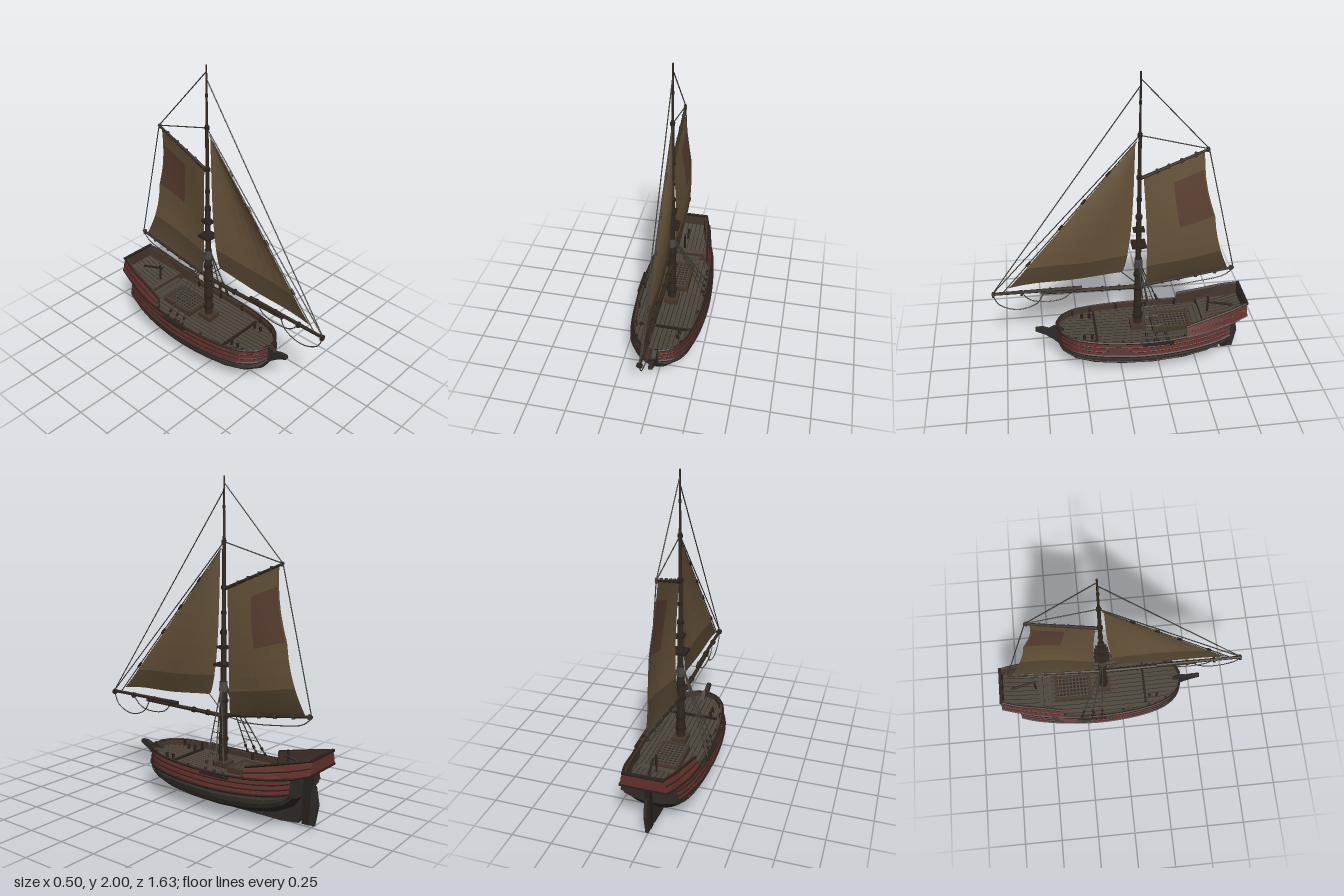
import * as THREE from 'three';

const mat = (color) => new THREE.MeshStandardMaterial({ color, flatShading: true, side: THREE.DoubleSide, roughness: 0.9 });
const RED = mat(0x66302b), DARK = mat(0x2f2b27), HULL = mat(0x48443c), WALE = mat(0x2b211d), DECK = mat(0x4c463b),
  WOOD = mat(0x46362a), SPAR = mat(0x32291f), ROPE = mat(0x3f3a33), SAIL = mat(0x665339), SAILDARK = mat(0x51432f),
  PATCH = mat(0x5c4032), IRON = mat(0x4a4846);
const lerp = THREE.MathUtils.lerp, clamp = THREE.MathUtils.clamp;
const V = (p) => new THREE.Vector3(...p);

// hull stations, bow to stern: z, half width, rail height, bottom height
const STATIONS = [
  [0.412, 0.02, 0.302, 0.18], [0.38, 0.1, 0.3, 0.12], [0.3, 0.168, 0.297, 0.075], [0.18, 0.208, 0.29, 0.048],
  [0, 0.234, 0.284, 0.034], [-0.2, 0.241, 0.282, 0.03], [-0.4, 0.228, 0.29, 0.04], [-0.55, 0.208, 0.305, 0.068],
  [-0.64, 0.19, 0.32, 0.115], [-0.7, 0.172, 0.335, 0.19]];
// stern bulwark sections: z, foot x, foot y, top x, top y
const POOP = [[-0.41, 0.215, 0.288, 0.185, 0.35], [-0.55, 0.198, 0.305, 0.165, 0.384],
  [-0.69, 0.168, 0.328, 0.148, 0.42], [-0.815, 0.14, 0.367, 0.118, 0.45]];

export function createModel() {
  const root = new THREE.Group();
  const add = (name, geo, m, parent = root) => {
    const mesh = new THREE.Mesh(geo, m);
    mesh.name = name;
    parent.add(mesh);
    return mesh;
  };
  const group = (name) => {
    const g = new THREE.Group();
    g.name = name;
    root.add(g);
    return g;
  };
  // surface through rows of points
  const loft = (name, rows, m, parent) => {
    const n = rows[0].length, idx = [];
    for (let i = 0; i < rows.length - 1; i++) for (let j = 0; j < n - 1; j++) {
      const a = i * n + j, b = a + n;
      idx.push(a, b, a + 1, b, b + 1, a + 1);
    }
    const g = new THREE.BufferGeometry();
    g.setAttribute('position', new THREE.Float32BufferAttribute(rows.flat(2), 3));
    g.setIndex(idx);
    g.computeVertexNormals();
    return add(name, g, m, parent);
  };
  const spar = (name, a, b, r0, r1, m, parent, sides = 8) => {
    const A = V(a), B = V(b), d = B.clone().sub(A);
    const mesh = add(name, new THREE.CylinderGeometry(r1, r0, d.length(), sides), m, parent);
    mesh.position.copy(A).add(B).multiplyScalar(0.5);
    mesh.quaternion.setFromUnitVectors(new THREE.Vector3(0, 1, 0), d.normalize());
    return mesh;
  };
  const tube = (name, pts, r, m, parent, seg = 20) =>
    add(name, new THREE.TubeGeometry(new THREE.CatmullRomCurve3(pts.map(V)), seg, r, 5), m, parent);
  const box = (name, w, h, d, x, y, z, m, parent) => {
    const mesh = add(name, new THREE.BoxGeometry(w, h, d), m, parent);
    mesh.position.set(x, y, z);
    return mesh;
  };
  // plate in the z-y plane, centred on x = 0
  const plate = (name, pts, t, m) => {
    const g = new THREE.ExtrudeGeometry(new THREE.Shape(pts.map(p => new THREE.Vector2(...p))), { depth: t, bevelEnabled: false });
    add(name, g.translate(0, 0, -t / 2).rotateY(-Math.PI / 2), m);
  };

  // hull side: t 0..1 runs keel to turn of the side, 1..2 up the tumblehome
  const hullPoint = ([z, w, ys, yb], t, s, out = 0) => {
    const ym = ys - 0.09, a = Math.min(t, 1) * Math.PI / 2;
    const x = t <= 1 ? w * Math.pow(Math.sin(a), 0.9) : w * (1 - 0.075 * (t - 1));
    const y = t <= 1 ? lerp(yb, ym, 1 - Math.pow(Math.cos(a), 1.15)) : lerp(ym, ys, t - 1);
    return [s * (x + out), y, z];
  };
  const hull = group('hull');
  const strakes = [[0, 0.55, 4, DARK, 0], [0.55, 0.7, 1, HULL, 0.002], [0.7, 0.85, 1, HULL, 0.004], [0.85, 1, 1, HULL, 0.002],
    [1, 1.33, 1, RED, 0.003], [1.33, 1.66, 1, RED, 0.001], [1.66, 2, 1, RED, 0]];
  for (const s of [1, -1]) {
    for (const [t0, t1, n, m, out] of strakes)
      loft('hullStrake', STATIONS.map(st => Array.from({ length: n + 1 }, (_, i) => hullPoint(st, lerp(t0, t1, i / n), s, out))), m, hull);
    for (const [t, r] of [[0.72, 0.003], [1, 0.008], [1.33, 0.004], [1.66, 0.004], [2, 0.007]])
      tube('wale', STATIONS.map(st => hullPoint(st, t, s, 0.002)), r, WALE, hull, 36);
    // inner bulwark
    loft('innerBulwark', STATIONS.map(([z, w, ys]) => [[s * w * 0.925, ys, z], [s * w * 0.86, ys, z], [s * w * 0.86, ys - 0.05, z]]), WOOD, hull);
    // timber heads on the inside
    STATIONS.slice(2, 7).forEach(([z, w, ys]) => box('bulwarkPost', 0.014, 0.055, 0.014, s * w * 0.85, ys - 0.022, z, WALE, hull));
  }
  // bow and transom closures
  const ts = [0, 0.2, 0.4, 0.6, 0.8, 1, 1.5, 2];
  for (const [st, name] of [[STATIONS[0], 'bowFace'], [STATIONS[9], 'transom']])
    loft(name, ts.map(t => [hullPoint(st, t, -1), hullPoint(st, t, 1)]), DARK, hull);

  // keel, stem with beak, sternpost and rudder
  plate('keelAndStem', [[0.55, 0.278], [0.545, 0.297], [0.5, 0.296], [0.46, 0.28], [0.41, 0.305], [0.36, 0.26], [0.32, 0.13], [0.15, 0.07],
    [-0.58, 0.1], [-0.66, 0.2], [-0.66, 0.33], [-0.7, 0.33], [-0.69, 0.07], [-0.67, 0.018], [-0.55, 0.004], [0.12, 0.004], [0.24, 0.028],
    [0.33, 0.075], [0.39, 0.15], [0.44, 0.205], [0.49, 0.245]], 0.026, DARK);
  plate('rudderPost', [[-0.7, 0.33], [-0.755, 0.325], [-0.735, 0.02], [-0.69, 0.02]], 0.026, WALE);
  plate('rudderBlade', [[-0.745, 0.25], [-0.775, 0.26], [-0.795, 0.15], [-0.77, 0.02], [-0.728, 0.02]], 0.018, DARK);

  // deck: dark bed with separate planks
  const deck = group('deck');
  loft('deckBed', STATIONS.map(([z, w, ys]) => [[-w * 0.87, ys - 0.04, z], [w * 0.87, ys - 0.04, z]]), WALE, deck);
  for (let x = -0.21; x < 0.2; x += 0.03)
    loft('deckPlank', STATIONS.map(([z, w, ys]) =>
      [x + 0.002, x + 0.028].map(px => [clamp(px, -w * 0.86, w * 0.86), ys - 0.036, z])), DECK, deck);
  box('foredeckBeam', 0.32, 0.014, 0.014, 0, 0.262, 0.16, WALE, deck);
  for (const s of [1, -1]) for (const z of [0.24, 0.19]) spar('bollard', [s * 0.11, 0.25, z], [s * 0.11, 0.29, z], 0.008, 0.01, WALE, deck);

  // hatch with grating
  const hatch = group('hatch');
  box('hatchCover', 0.16, 0.024, 0.23, 0, 0.262, -0.335, WALE, hatch);
  for (const s of [1, -1]) {
    box('hatchSideCoaming', 0.018, 0.034, 0.25, s * 0.08, 0.266, -0.335, WOOD, hatch);
    box('hatchEndCoaming', 0.16, 0.034, 0.018, 0, 0.266, -0.335 + s * 0.117, WOOD, hatch);
  }
  for (let i = 0; i < 9; i++) box('gratingBar', 0.15, 0.005, 0.008, 0, 0.276, -0.43 + i * 0.024, DECK, hatch);
  for (let i = 0; i < 6; i++) box('gratingBar', 0.007, 0.006, 0.22, -0.0625 + i * 0.025, 0.276, -0.335, DECK, hatch);

  // raised stern
  const stern = group('stern');
  for (const s of [1, -1]) {
    loft('sternBulwark', POOP.map(([z, xb, yb, xt, yt]) => [[s * xb, yb, z], [s * lerp(xb, xt, 0.5), lerp(yb, yt, 0.5), z], [s * xt, yt, z]]), RED, stern);
    loft('sternBulwarkLining', POOP.map(([z, xb, yb, xt, yt]) => [[s * xt, yt, z], [s * (xt - 0.016), yt, z], [s * (xb - 0.045), yb - 0.005, z]]), WOOD, stern);
    for (const [f, r] of [[0, 0.006], [0.5, 0.004], [1, 0.008]])
      tube('sternRail', POOP.map(([z, xb, yb, xt, yt]) => [s * lerp(xb, xt, f), lerp(yb, yt, f), z]), r, WALE, stern);
  }
  const aft = POOP[3];
  loft('sternBoard', [[[-aft[1], aft[2], aft[0]], [aft[1], aft[2], aft[0]]], [[-aft[3], aft[4], aft[0]], [aft[3], aft[4], aft[0]]]], RED, stern);
  box('sternBoardCap', 0.25, 0.014, 0.018, 0, 0.45, -0.812, WALE, stern);
  box('sternBoardFoot', 0.28, 0.012, 0.012, 0, 0.367, -0.812, WALE, stern);
  box('sternBoardLining', 0.22, 0.07, 0.006, 0, 0.41, -0.804, WOOD, stern);
  loft('counter', POOP.slice(2).map(([z, x, y]) => [[-x, y, z], [x, y, z]]), RED, stern);
  const poopRows = [[-0.54, 0.165, 0.318], [-0.69, 0.135, 0.342], [-0.805, 0.115, 0.378]];
  loft('poopBed', poopRows.map(([z, w, y]) => [[-w, y - 0.003, z], [w, y - 0.003, z]]), WALE, stern);
  for (let x = -0.165; x < 0.15; x += 0.03)
    loft('poopPlank', poopRows.map(([z, w, y]) => [x + 0.002, x + 0.028].map(px => [clamp(px, -w, w), y, z])), DECK, stern);
  box('poopFront', 0.34, 0.06, 0.01, 0, 0.292, -0.54, WOOD, stern);
  [0.32, 0.295, 0.272].forEach((y, i) => box('step', 0.24, 0.01, 0.028, 0, y, -0.55 + i * 0.028, DECK, stern));
  spar('tiller', [0, 0.36, -0.75], [0.02, 0.41, -0.58], 0.009, 0.006, WALE, stern);
  spar('tillerPost', [0, 0.31, -0.585], [0, 0.44, -0.585], 0.007, 0.007, WALE, stern);

  // mast with collars and crosstrees
  const MZ = -0.12, mast = group('mast');
  for (const [y0, y1, r0, r1] of [[0.24, 0.78, 0.027, 0.023], [0.72, 1.1, 0.018, 0.016], [1.05, 1.64, 0.013, 0.01], [1.6, 2, 0.008, 0.005]])
    spar('mastSection', [0, y0, MZ], [0, y1, MZ], r0, r1, SPAR, mast, 10);
  for (const [y, r] of [[0.34, 0.033], [0.42, 0.03], [0.56, 0.032], [0.66, 0.029], [0.99, 0.028], [1.08, 0.021], [1.2, 0.016], [1.35, 0.018], [1.62, 0.015], [1.82, 0.009]])
    spar('mastCollar', [0, y - 0.01, MZ], [0, y + 0.01, MZ], r, r, WALE, mast, 10);
  spar('mastCap', [0, 0.72, MZ], [0, 0.78, MZ], 0.027, 0.024, IRON, mast, 10);
  box('crosstree', 0.09, 0.016, 0.09, 0, 0.885, MZ, WALE, mast);
  box('upperCrosstree', 0.05, 0.014, 0.07, 0, 0.99, MZ, WALE, mast);
  box('mastStep', 0.09, 0.035, 0.1, 0, 0.265, MZ, WOOD, mast);

  // spars
  const spars = group('spars');
  spar('bowBoom', [0, 0.565, MZ], [0, 0.57, 0.5], 0.014, 0.011, SPAR, spars);
  spar('bowBoomExtension', [0, 0.588, 0.24], [0, 0.588, 0.805], 0.013, 0.01, SPAR, spars);
  for (const z of [0.795, 0.62, 0.44, 0.29, 0.11, 0])
    spar('boomBand', [0, z > 0.2 ? 0.583 : 0.567, z - 0.007], [0, z > 0.2 ? 0.583 : 0.567, z + 0.007], 0.019, 0.019, WALE, spars);
  spar('mainBoom', [0, 0.57, MZ], [0, 0.66, -0.74], 0.013, 0.008, SPAR, spars);
  spar('gaff', [0, 1.34, MZ], [0, 1.512, -0.535], 0.011, 0.007, SPAR, spars);
  for (const f of [0.25, 0.42, 0.6, 0.8, 0.97]) {
    spar('gaffLashing', [0, 1.34 + 0.172 * f - 0.014, MZ - 0.415 * f], [0, 1.34 + 0.172 * f + 0.014, MZ - 0.415 * f], 0.01, 0.01, ROPE, spars, 6);
    spar('boomLashing', [0, 0.57 + 0.09 * f - 0.014, MZ - 0.62 * f], [0, 0.57 + 0.09 * f + 0.014, MZ - 0.62 * f], 0.012, 0.012, ROPE, spars, 6);
  }

  // sails: u runs forward to aft, v foot to head
  const panel = (name, f, u0, u1, v0, v1, m, parent, dx = 0) => loft(name, Array.from({ length: 9 }, (_, i) =>
    Array.from({ length: 9 }, (_, j) => {
      const p = f(lerp(u0, u1, j / 8), lerp(v0, v1, i / 8));
      return [p[0] + dx, p[1], p[2]];
    })), m, parent);
  const mainSail = (u, v) => {
    const luff = lerp(-0.17, -0.145, v) - 0.01 * Math.sin(Math.PI * v);
    const leech = lerp(-0.7, -0.505, v) - 0.02 * Math.sin(2 * Math.PI * v) * (v > 0.5 ? 1 : -1) * 0.8 + 0.018 * Math.sin(Math.PI * v);
    return [0.045 * Math.sin(Math.PI * Math.pow(v, 0.75)) * (0.35 + 0.65 * Math.sin(Math.PI * u * 0.8)),
      lerp(0.58 + 0.072 * u, 1.342 + 0.152 * u, v) + 0.008 * Math.sin(u * 9) * v * (1 - v), lerp(luff, leech, u)];
  };
  const jib = (u, v) => {
    const luff = lerp(0.7, -0.09, v) - 0.008 * Math.abs(Math.sin(5 * Math.PI * v));
    const leech = lerp(-0.015, -0.093, v) - 0.03 * Math.sin(Math.PI * Math.pow(v, 0.6));
    return [0.035 * Math.sin(Math.PI * v) * Math.sin(Math.PI * u),
      lerp(lerp(0.625, 0.685, u) + 0.012 * Math.sin(7 * u) * (1 - u), 1.57, v), lerp(luff, leech, u)];
  };
  const sails = group('sails');
  panel('mainSail', mainSail, 0, 1, 0.19, 1, SAIL, sails);
  panel('mainSailFoot', mainSail, 0, 1, 0, 0.19, SAILDARK, sails);
  for (const dx of [-0.003, 0.003]) panel('sailPatch', mainSail, 0.48, 0.98, 0.5, 0.87, PATCH, sails, dx);
  panel('headSail', jib, 0, 1, 0.14, 1, SAIL, sails);
  panel('headSailFoot', jib, 0, 1, 0, 0.14, SAILDARK, sails);

  // standing lines and slack ropes, as z-y points
  const rigging = group('rigging');
  for (const pts of [[[0.8, 0.59], [MZ, 1.92]], [[0.8, 0.59], [MZ, 1.62]], [[0.73, 0.6], [-0.1, 1.58]], [[MZ, 1.96], [-0.53, 1.51]],
    [[MZ, 1.62], [-0.53, 1.51]], [[-0.53, 1.51], [-0.735, 0.66]], [[-0.01, 0.69], [MZ, 0.58]]])
    spar('stay', [0, pts[0][1], pts[0][0]], [0, pts[1][1], pts[1][0]], 0.0035, 0.0035, ROPE, rigging, 5);
  for (const pts of [[[0.8, 0.58], [0.76, 0.5], [0.65, 0.455], [0.53, 0.49], [0.48, 0.57]], [[0.62, 0.58], [0.56, 0.52], [0.45, 0.5], [0.35, 0.52], [0.3, 0.57]],
    [[-0.74, 0.655], [-0.68, 0.605], [-0.5, 0.57], [-0.3, 0.552], [MZ, 0.57]]])
    tube('slackRope', pts.map(([z, y]) => [0, y, z]), 0.0035, ROPE, rigging);
  for (const f of [0.2, 0.45, 0.62, 0.8])
    spar('sailHank', [0, lerp(0.6, 1.58, f) - 0.014, lerp(0.73, -0.1, f) + 0.012], [0, lerp(0.6, 1.58, f) + 0.014, lerp(0.73, -0.1, f) - 0.012], 0.008, 0.008, WALE, rigging, 6);

  // shrouds, ratlines and channels on both sides
  for (const s of [1, -1]) {
    const at = (z, f) => [s * lerp(0.226, 0.02, f), lerp(0.275, 0.76, f), lerp(z, MZ, f)];
    const feet = [-0.15, -0.22, -0.29];
    for (const z of feet) {
      spar('shroud', at(z, 0), at(z, 1), 0.004, 0.004, ROPE, rigging, 5);
      for (const f of [0.02, 0.1]) spar('deadeye', at(z, f), at(z, f + 0.035), 0.009, 0.009, WALE, rigging, 6);
    }
    for (const f of [0.22, 0.34, 0.46, 0.58]) spar('ratline', at(feet[0], f), at(feet[2], f), 0.0025, 0.0025, ROPE, rigging, 4);
    box('channel', 0.022, 0.012, 0.2, s * 0.23, 0.272, -0.22, WALE, rigging);
  }
  return root;
}
